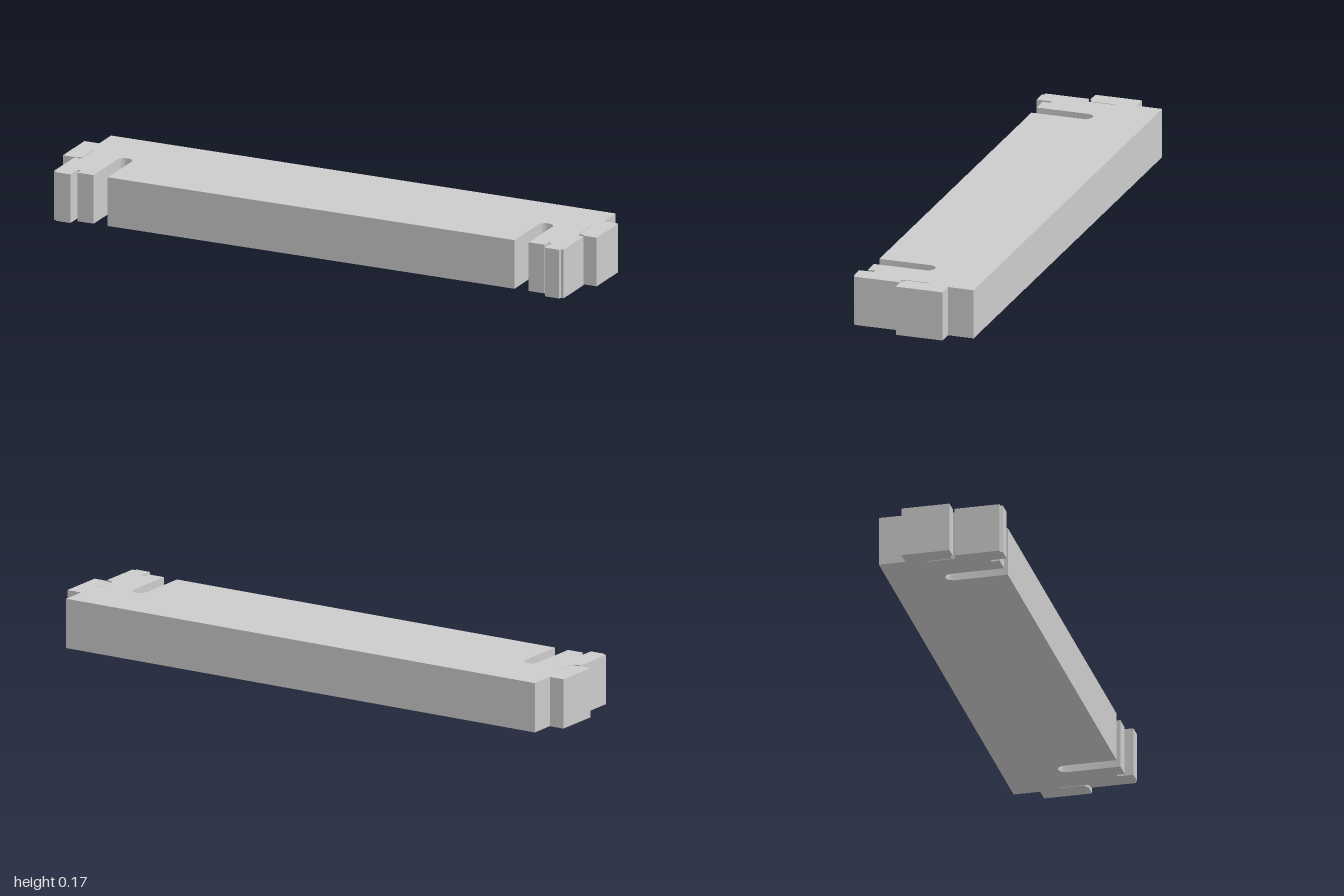
import * as THREE from 'three';
import { toCreasedNormals } from 'three/addons/utils/BufferGeometryUtils.js';

const HEIGHT = 0.173;

// Half-round end of a slot, running from its +x side to its -x side
function slotEnd(cx, cz, r, steps) {
  const pts = [];
  for (let i = 0; i <= steps; i++) {
    const a = (i / steps) * Math.PI;
    pts.push([cx + r * Math.cos(a), cz - r * Math.sin(a)]);
  }
  return pts;
}

export function createModel() {
  const group = new THREE.Group();
  group.name = 'notchedBar';

  // Plan outline (x, z) of the left half, from the back edge round to the front edge
  const half = [
    // back corner and side lug
    [0.945, -0.215], [0.945, -0.123], [1, -0.123], [1, 0.044],
    [0.952, 0.044], [0.946, 0.036], [0.932, 0.036],
    // thin relief slit
    [0.932, -0.05], [0.928, -0.05], [0.928, 0.042],
    // clip arm with its chamfered hook
    [0.938, 0.051], [0.955, 0.051], [0.955, 0.207], [0.945, 0.207], [0.942, 0.215],
    [0.889, 0.215], [0.889, 0.167],
    // small notch
    ...slotEnd(0.882, 0.167, 0.007, 8),
    [0.875, 0.188], [0.815, 0.188],
    // round-ended slot
    ...slotEnd(0.7885, 0.005, 0.0265, 16),
    [0.762, 0.188],
  ];
  const mirrored = half.map(([x, z]) => [-x, z]).reverse();
  const outline = [...half, ...mirrored].map(([x, z]) => new THREE.Vector2(x, z));

  // Straight extrusion of the plan, laid flat
  const bar = new THREE.ExtrudeGeometry(new THREE.Shape(outline), { depth: HEIGHT, bevelEnabled: false });
  bar.rotateX(Math.PI / 2).translate(0, HEIGHT, 0);

  const mesh = new THREE.Mesh(
    toCreasedNormals(bar, 0.5),
    new THREE.MeshStandardMaterial({ color: 0xcccccc })
  );
  mesh.name = 'barBody';
  group.add(mesh);
  return group;
}
